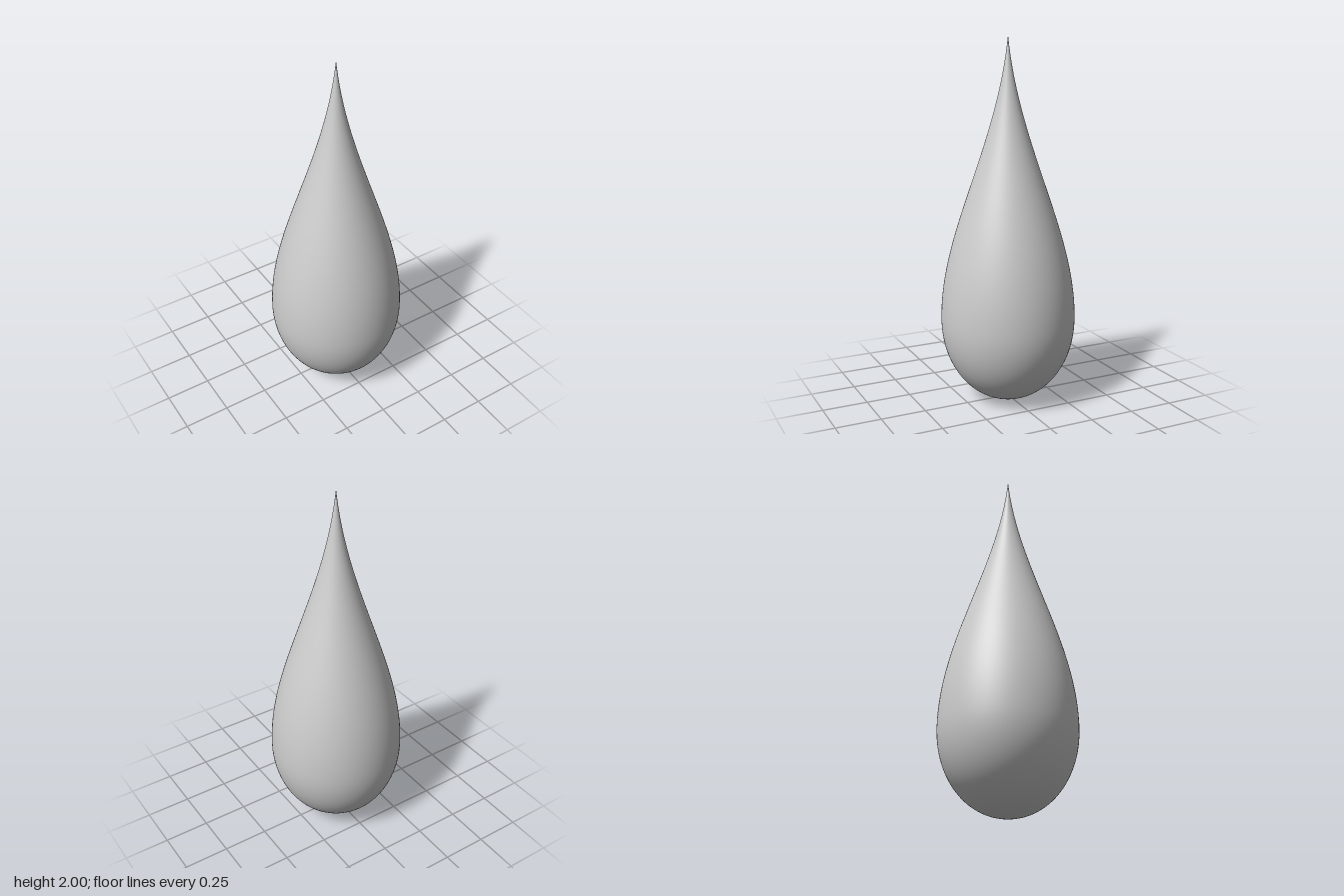
import * as THREE from 'three';

export function createModel() {
  const group = new THREE.Group();
  group.name = 'teardrop';

  // Half outline: rounded bowl, then a shoulder sweeping in to a fine tip
  const v = (x, y) => new THREE.Vector2(x, y);
  const bowl = new THREE.CubicBezierCurve(v(0, 0), v(0.21, 0), v(0.37, 0.2), v(0.37, 0.46));
  const taper = new THREE.CubicBezierCurve(v(0.37, 0.46), v(0.37, 0.95), v(0.06, 1.4), v(0, 2));
  const profile = [...bowl.getPoints(32), ...taper.getPoints(64).slice(1)];

  const drop = new THREE.Mesh(
    new THREE.LatheGeometry(profile, 96),
    new THREE.MeshStandardMaterial({ color: 0xcccccc })
  );
  drop.name = 'dropBody';
  group.add(drop);
  return group;
}
